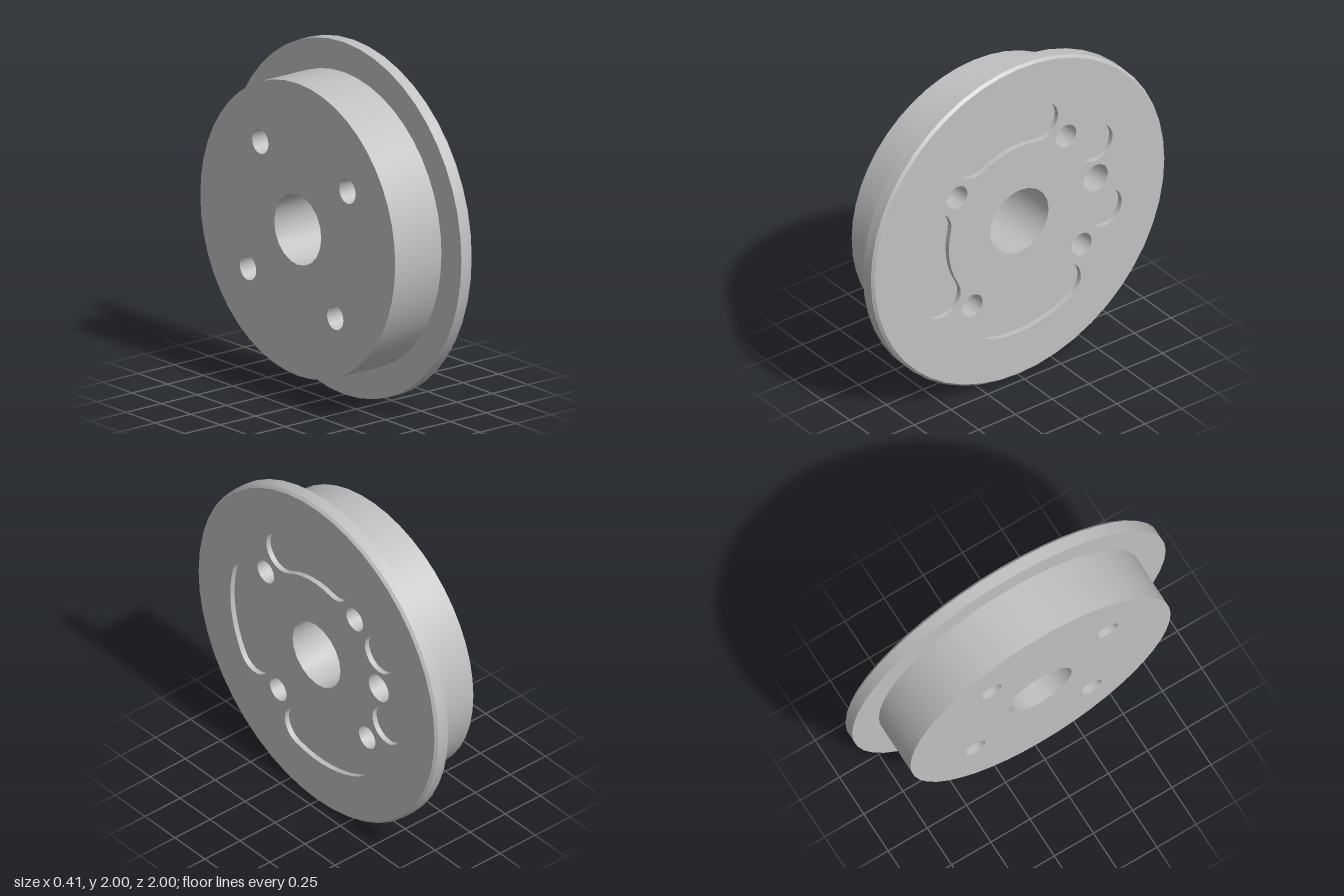
import * as THREE from 'three';
import { toCreasedNormals } from 'three/addons/utils/BufferGeometryUtils.js';

const BACK = -0.205, STEP = 0.12, FACE = 0.205; // positions along the axle (x)
const SEG = 48;
const TILT = THREE.MathUtils.degToRad(8); // turn of the whole hole pattern
const SPAN = THREE.MathUtils.degToRad(22); // half angle of a kidney pocket

// point at radius r, angle a measured from the top, counterclockwise
const polar = (r, a, c = new THREE.Vector2()) =>
  new THREE.Vector2(c.x - r * Math.sin(a), c.y + r * Math.cos(a));

const arc = (r, a0, a1, n, c) =>
  Array.from({ length: n + 1 }, (_, i) => polar(r, a0 + ((a1 - a0) * i) / n, c));

const circle = (r, n, c) => arc(r, 0, Math.PI * 2, n, c).slice(0, -1);

// closed kidney outline centred on angle a
function kidney(a) {
  const mid = 0.6, half = 0.12, a0 = a - SPAN, a1 = a + SPAN;
  return [
    ...arc(mid + half, a0, a1, 8),
    ...arc(half, a1, a1 + Math.PI, 10, polar(mid, a1)).slice(1, -1),
    ...arc(mid - half, a1, a0, 6),
    ...arc(half, a0 + Math.PI, a0 + Math.PI * 2, 10, polar(mid, a0)).slice(1, -1),
  ];
}

// flat face with holes at depth w, facing forward or backward along the axle
function flat(outline, holes, w, backward = false) {
  const loop = (pts) => (backward ? pts.map((p) => new THREE.Vector2(-p.x, p.y)) : pts);
  const shape = new THREE.Shape(loop(outline));
  holes.forEach((h) => shape.holes.push(new THREE.Path(loop(h))));
  const geo = new THREE.ShapeGeometry(shape);
  if (backward) geo.rotateY(Math.PI);
  return geo.translate(0, 0, w).rotateY(Math.PI / 2);
}

// inward-facing wall of a hole between depths w0 and w1
function wall(pts, w0, w1) {
  const pos = [], index = [], n = pts.length;
  pts.forEach((p, i) => {
    const j = (i + 1) % n;
    pos.push(p.x, p.y, w0, p.x, p.y, w1);
    index.push(2 * i, 2 * i + 1, 2 * j + 1, 2 * i, 2 * j + 1, 2 * j);
  });
  const geo = new THREE.BufferGeometry();
  geo.setAttribute('position', new THREE.Float32BufferAttribute(pos, 3));
  geo.setIndex(index);
  geo.computeVertexNormals();
  return geo.rotateY(Math.PI / 2);
}

export function createModel() {
  const model = new THREE.Group();
  model.name = 'flangedWheel';
  const metal = new THREE.MeshStandardMaterial({ color: 0xc0c0c0 });
  metal.name = 'grey metal';
  const add = (name, geo) => {
    const mesh = new THREE.Mesh(geo, metal);
    mesh.name = name;
    mesh.position.y = 1;
    model.add(mesh);
  };

  // holes that go right through: axle bore and four bolt holes
  const through = [{ name: 'axleBore', pts: circle(0.2, 20) }];
  for (let i = 0; i < 4; i++) {
    const a = TILT + Math.PI / 4 + (i * Math.PI) / 2;
    through.push({ name: 'boltHole', pts: circle(0.07, 16, polar(0.53, a)) });
  }

  // recesses in the flange face: three kidneys, two round pockets, a deep pin hole
  const recesses = [];
  for (let i = 0; i < 3; i++) {
    recesses.push({ name: 'kidneyPocket', pts: kidney(TILT + (i * Math.PI) / 2), depth: 0.03 });
  }
  const side = TILT - Math.PI / 2;
  for (const s of [-1, 1]) {
    recesses.push({ name: 'roundPocket', pts: circle(0.116, 18, polar(0.6, side + s * SPAN)), depth: 0.03 });
  }
  recesses.push({ name: 'pinHole', pts: circle(0.084, 16, polar(0.525, side)), depth: 0.2 });

  // hub side, flange back, flange rim and chamfer
  const profile = [[0.83, BACK], [0.83, STEP], [1, STEP], [1, 0.19], [0.985, FACE]];
  const body = new THREE.LatheGeometry(profile.map(([r, w]) => new THREE.Vector2(r, w)), SEG);
  add('hubAndRim', toCreasedNormals(body.rotateZ(-Math.PI / 2), 0.5));

  // end faces
  const bores = through.map((h) => h.pts);
  const pockets = recesses.map((h) => h.pts);
  add('flangeFace', flat(circle(0.985, SEG), [...bores, ...pockets], FACE));
  add('hubFace', flat(circle(0.83, SEG), bores, BACK, true));

  // hole walls and pocket floors
  through.forEach((h) => add(h.name, wall(h.pts, BACK, FACE)));
  recesses.forEach((h) => {
    add(h.name + 'Wall', wall(h.pts, FACE - h.depth, FACE));
    add(h.name + 'Floor', flat(h.pts, [], FACE - h.depth));
  });
  return model;
}
